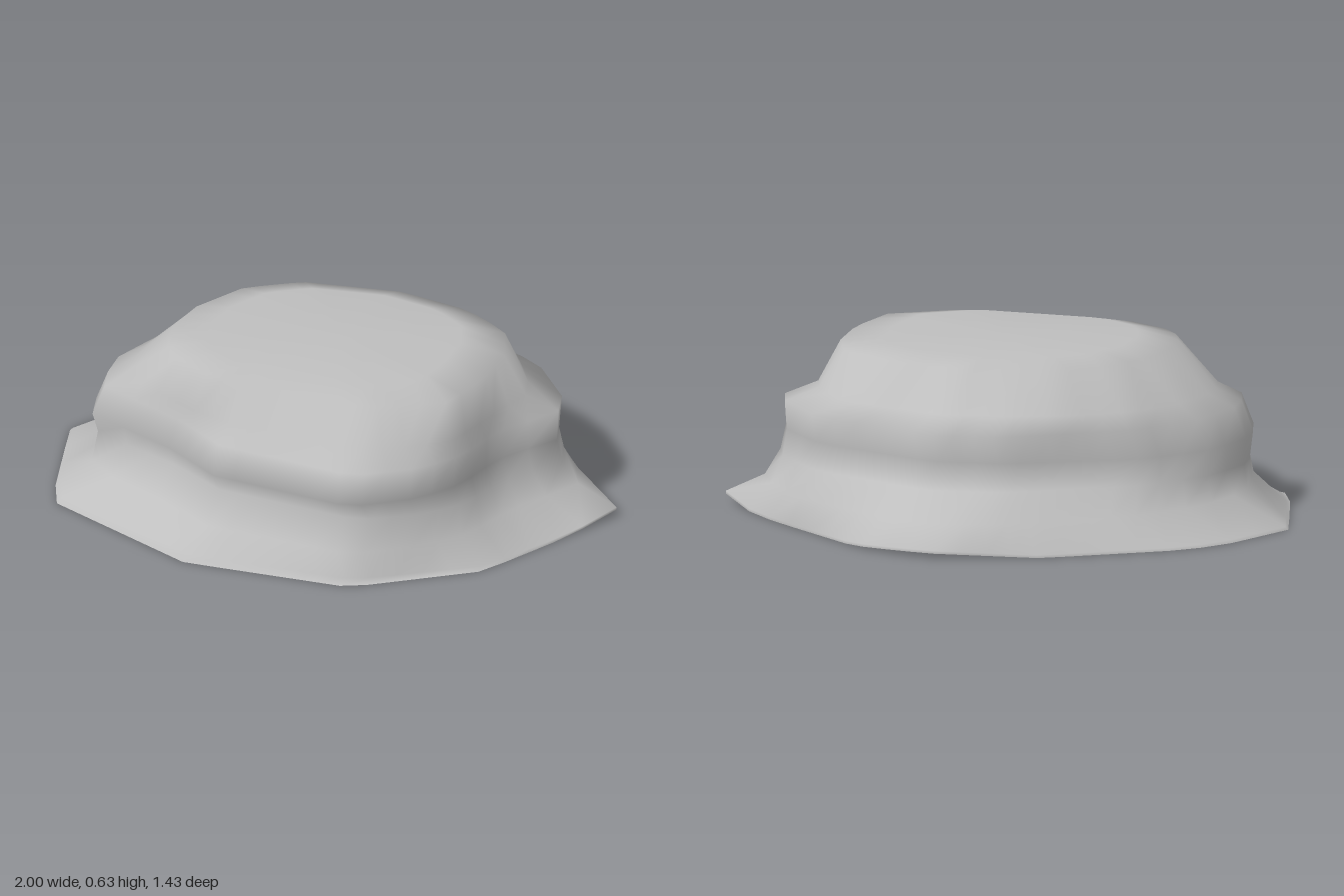
import * as THREE from 'three';

const SEGMENTS = 48;

// Three key outlines seen from above, as [x, z] corners
const FOOT = [[1, -0.15], [0.71, 0.38], [0.32, 0.66], [-0.28, 0.72], [-0.87, 0.5], [-1, 0.02],
  [-0.85, -0.23], [-0.73, -0.35], [-0.27, -0.6], [0.1, -0.72], [0.34, -0.66], [0.77, -0.36]];
const LEDGE = [[0.82, -0.16], [0.65, 0.1], [0.6, 0.3], [0.5, 0.44], [0.3, 0.58], [-0.22, 0.56], [-0.42, 0.45],
  [-0.77, 0.33], [-0.81, 0.15], [-0.72, -0.08], [-0.54, -0.28], [-0.1, -0.51], [0.15, -0.55], [0.6, -0.4]];
const CROWN = [[0.6, -0.1], [0.6, 0.1], [0.54, 0.3], [0.3, 0.43], [-0.3, 0.44], [-0.5, 0.35],
  [-0.56, 0.2], [-0.54, 0.02], [-0.43, -0.18], [-0.25, -0.3], [0.1, -0.37], [0.36, -0.34], [0.54, -0.25]];

// Each level blends the outlines, then pinches or swells its front, back and right
const LEVELS = [
  { y: 0, foot: 1, ledge: 0, crown: 0, front: 1, back: 1, right: 1 },
  { y: 0.01, foot: 1, ledge: 0, crown: 0, front: 0.94, back: 1, right: 0.99 },
  { y: 0.11, foot: 0.32, ledge: 0.68, crown: 0, front: 1.03, back: 1.1, right: 0.96 },
  { y: 0.2, foot: 0.08, ledge: 0.92, crown: 0, front: 0.91, back: 0.96, right: 1 },
  { y: 0.29, foot: 0, ledge: 1, crown: 0, front: 1.04, back: 0.88, right: 1.02 },
  { y: 0.4, foot: 0, ledge: 1, crown: 0, front: 0.99, back: 1, right: 0.97 },
  { y: 0.45, foot: 0, ledge: 0.4, crown: 0.6, front: 0.98, back: 1, right: 1.06 },
  { y: 0.6, foot: 0, ledge: 0, crown: 1, front: 1, back: 0.97, right: 0.98 },
  { y: 0.625, foot: 0, ledge: 0, crown: 0.74, front: 1.1, back: 1, right: 1 },
];

// Point where a ray from the centre crosses an outline
function crossing(outline, dx, dz) {
  let radius = 0;
  outline.forEach(([px, pz], k) => {
    const [qx, qz] = outline[(k + 1) % outline.length];
    const ex = qx - px, ez = qz - pz;
    const det = dx * ez - dz * ex;
    const t = (px * dz - pz * dx) / det;
    if (t >= -1e-6 && t <= 1 + 1e-6) radius = Math.max(radius, (px * ez - pz * ex) / det);
  });
  return radius;
}

function makeRing({ y, foot, ledge, crown, front, back, right }) {
  return Array.from({ length: SEGMENTS }, (_, i) => {
    // Start at the angle of the pointed left tip
    const a = (i / SEGMENTS) * Math.PI * 2 - Math.atan2(0.15, 1);
    const dx = Math.cos(a), dz = Math.sin(a);
    const r = foot * crossing(FOOT, dx, dz) + ledge * crossing(LEDGE, dx, dz) + crown * crossing(CROWN, dx, dz);
    const x = dx * r * (dx < 0 ? right : 1);
    const z = dz * r * (dz > 0 ? front : back);
    // The foot lifts slightly at its left tip and back corner
    const lift = y < 0.05 ? Math.max(0, (x - 0.9) * 0.3, (-z - 0.6) * 0.17) : 0;
    return [x, y + lift, z];
  });
}

function makeGeometry(points, index) {
  const geometry = new THREE.BufferGeometry();
  geometry.setAttribute('position', new THREE.Float32BufferAttribute(points.flat(), 3));
  geometry.setIndex(index);
  geometry.computeVertexNormals();
  return geometry;
}

export function createModel() {
  const group = new THREE.Group();
  group.name = 'boulder';
  const stone = new THREE.MeshStandardMaterial({ color: 0xbfbfbf });
  stone.name = 'grey stone';
  const rings = LEVELS.map(makeRing);

  // Weathered sides and flat top, smoothly shaded as one skin
  const points = rings.flat();
  const index = [];
  const last = (rings.length - 1) * SEGMENTS;
  const centre = points.length;
  points.push([0.05, 0.628, 0.05]);
  for (let k = 0; k < SEGMENTS; k++) {
    const n = (k + 1) % SEGMENTS;
    for (let row = 0; row < last; row += SEGMENTS) {
      const a = row + k, b = row + n, c = a + SEGMENTS, d = b + SEGMENTS;
      index.push(a, c, b, b, c, d);
    }
    index.push(last + k, centre, last + n);
  }
  const body = new THREE.Mesh(makeGeometry(points, index), stone);
  body.name = 'rockBody';

  // Flat underside, kept separate for a crisp ground edge
  const floor = [...rings[0], [0, 0, 0]];
  const floorIndex = [];
  for (let k = 0; k < SEGMENTS; k++) floorIndex.push(k, (k + 1) % SEGMENTS, SEGMENTS);
  const underside = new THREE.Mesh(makeGeometry(floor, floorIndex), stone);
  underside.name = 'underside';

  group.add(body, underside);
  return group;
}
